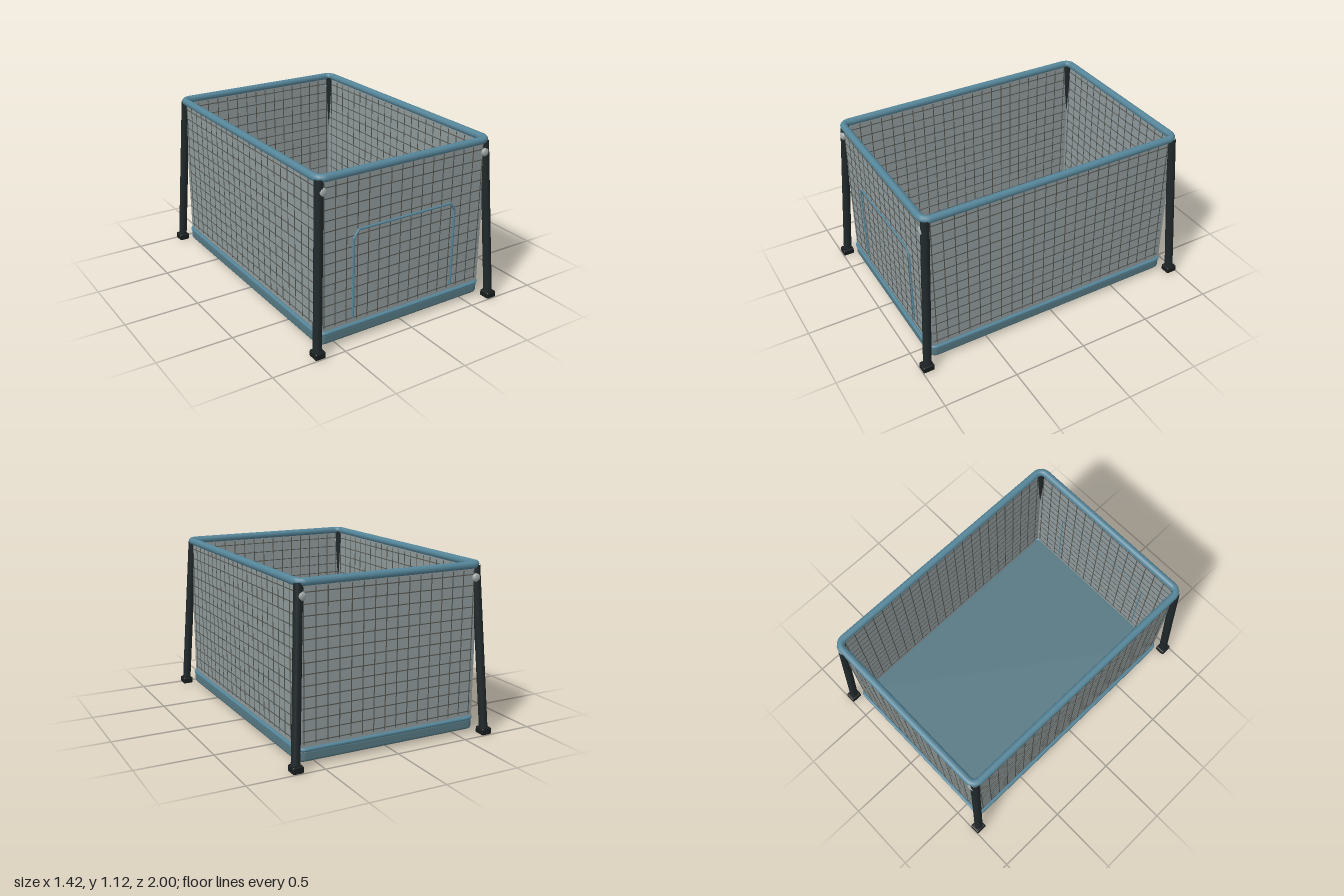
import * as THREE from 'three';
import { RoundedBoxGeometry } from 'three/addons/geometries/RoundedBoxGeometry.js';
import { mergeGeometries } from 'three/addons/utils/BufferGeometryUtils.js';

const paint = (color) => new THREE.MeshStandardMaterial({ color });
const railPaint = paint(0x558599);
const trayPaint = paint(0x557782);
const meshPaint = paint(0x8e999b);
const wirePaint = paint(0x55564f);
const legPaint = paint(0x20282a);
const footPaint = paint(0x181c1d);
const capPaint = paint(0xa0a8a8);

function add(parent, name, geometry, material, x = 0, y = 0, z = 0) {
  const mesh = new THREE.Mesh(geometry, material);
  mesh.name = name;
  mesh.position.set(x, y, z);
  parent.add(mesh);
  return mesh;
}

// Rounded rectangle outline with half sizes w, h and corner radius r
function roundedRect(w, h, r) {
  const s = new THREE.Shape();
  s.moveTo(w, -h + r);
  s.lineTo(w, h - r);
  s.absarc(w - r, h - r, r, 0, Math.PI / 2);
  s.lineTo(-w + r, h);
  s.absarc(-w + r, h - r, r, Math.PI / 2, Math.PI);
  s.lineTo(-w, -h + r);
  s.absarc(-w + r, -h + r, r, Math.PI, Math.PI * 1.5);
  s.lineTo(w - r, -h);
  s.absarc(w - r, -h + r, r, Math.PI * 1.5, Math.PI * 2);
  return s;
}

// Horizontal closed tube following a rounded rectangle
function ringTube(w, d, corner, radius) {
  const path = new THREE.CurvePath();
  for (const c of roundedRect(w, d, corner).curves) {
    const pts = c.getPoints(c.isLineCurve ? 1 : 8).map((p) => new THREE.Vector3(p.x, 0, p.y));
    for (let i = 1; i < pts.length; i++) {
      if (pts[i].distanceTo(pts[i - 1]) > 1e-5) path.add(new THREE.LineCurve3(pts[i - 1], pts[i]));
    }
  }
  return new THREE.TubeGeometry(path, 320, radius, 12, true);
}

// Thin fabric panel with a grid of wires showing on both faces
function meshWall(name, width, wireXs) {
  const wall = new THREE.Group();
  wall.name = name;
  add(wall, 'fabricPanel', new THREE.BoxGeometry(width, 0.99, 0.004), meshPaint, 0, 0.595, 0);
  const wires = [];
  for (const x of wireXs) {
    wires.push(new THREE.BoxGeometry(0.006, 0.94, 0.008).translate(x, 0.6, 0));
  }
  for (let i = 0; i < 14; i++) {
    wires.push(new THREE.BoxGeometry(width - 0.03, 0.006, 0.008).translate(0, 0.145 + i * 0.0688, 0));
  }
  add(wall, 'wireGrid', mergeGeometries(wires), wirePaint);
  return wall;
}

export function createModel() {
  const model = new THREE.Group();
  model.name = 'playpen';

  // Floor tray with a rim
  const b = 0.018;
  const tray = new THREE.ExtrudeGeometry(roundedRect(0.632 - b, 0.912 - b, 0.035), {
    depth: 0.075 - 2 * b, bevelEnabled: true, bevelThickness: b, bevelSize: b, bevelSegments: 4, curveSegments: 8,
  });
  tray.rotateX(-Math.PI / 2);
  add(model, 'floorTray', tray, trayPaint, 0, 0.025 + b, 0);
  add(model, 'trayRim', ringTube(0.626, 0.908, 0.05, 0.013), railPaint, 0, 0.102, 0);

  // Top rail
  add(model, 'topRail', ringTube(0.623, 0.9, 0.05, 0.0245), railPaint, 0, 1.1, 0);

  // Mesh walls
  const endXs = Array.from({ length: 16 }, (_, i) => (i - 7.5) * 0.0785);
  const sideXs = Array.from({ length: 23 }, (_, i) => (i - 11) * 0.0778);
  for (const s of [1, -1]) {
    const end = meshWall(s > 0 ? 'frontWall' : 'backWall', 1.23, endXs);
    end.position.z = s * 0.898;
    model.add(end);
    const side = meshWall(s > 0 ? 'leftWall' : 'rightWall', 1.796, sideXs);
    side.rotation.y = Math.PI / 2;
    side.position.x = s * 0.614;
    model.add(side);
  }

  // Door outline on the front wall
  const outline = [[-0.382, 0.15], [-0.382, 0.68], [-0.348, 0.728], [0.348, 0.728], [0.382, 0.68], [0.382, 0.15]]
    .map(([x, y]) => new THREE.Vector3(x, y, 0.902));
  const door = new THREE.Group();
  door.name = 'doorOutline';
  model.add(door);
  for (let i = 1; i < outline.length; i++) {
    const line = new THREE.LineCurve3(outline[i - 1], outline[i]);
    add(door, 'doorTube', new THREE.TubeGeometry(line, 1, 0.008, 8), railPaint);
    if (i > 1) add(door, 'doorBend', new THREE.SphereGeometry(0.008, 8, 6), railPaint, ...outline[i - 1].toArray());
  }

  // Splayed legs with feet and fastening caps
  for (const sx of [1, -1]) {
    for (const sz of [1, -1]) {
      const corner = new THREE.Group();
      corner.name = (sz > 0 ? 'front' : 'back') + (sx > 0 ? 'Left' : 'Right') + 'Leg';
      model.add(corner);
      const top = new THREE.Vector3(sx * 0.612, 1.095, sz * 0.884);
      const foot = new THREE.Vector3(sx * 0.673, 0.03, sz * 0.958);
      const legLine = new THREE.LineCurve3(foot, top);
      add(corner, 'legTube', new THREE.TubeGeometry(legLine, 1, 0.028, 14), legPaint);
      add(corner, 'foot', new RoundedBoxGeometry(0.072, 0.045, 0.078, 3, 0.01), footPaint, sx * 0.672, 0.0225, sz * 0.961);
      const cap = add(corner, 'fasteningCap', new THREE.SphereGeometry(0.028, 18, 12), capPaint, sx * 0.602, 1.02, sz * 0.907);
      cap.scale.z = 0.6;
    }
  }
  return model;
}
